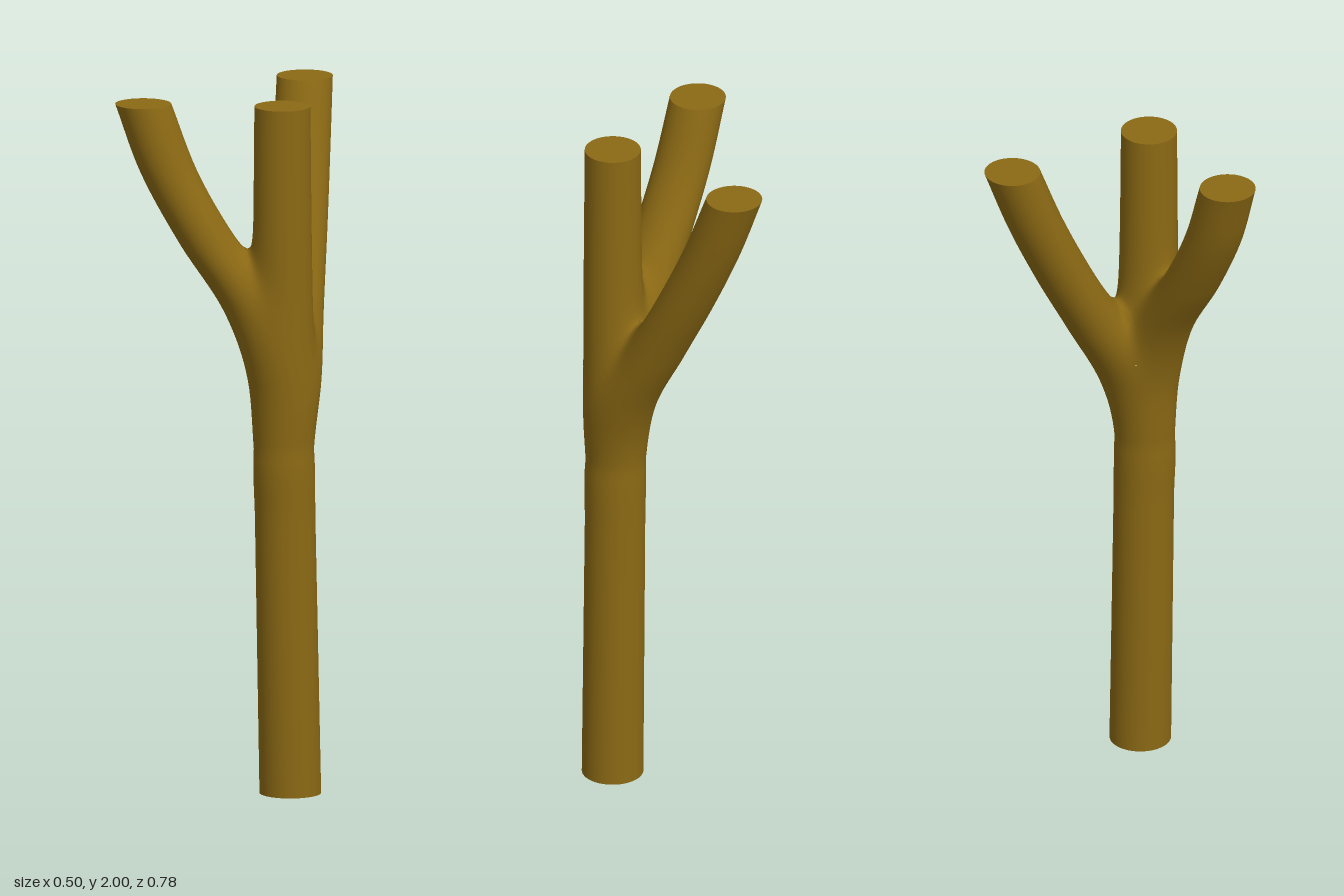
import * as THREE from 'three';

const BLEND = 0.025; // softness of the crotches
const FORK = 1.3;    // height where the trunk hands over to the limbs

// Limb centre lines: [x, z] at heights 1.2, 1.4, 1.6, 1.8 and 2 above a shared trunk
const limbs = {
  uprightLimb: [[0.150, 0.062], [0.151, 0.066], [0.152, 0.069], [0.152, 0.07], [0.152, 0.07]],
  frontLimb: [[0.137, 0.07], [0.08, 0.112], [-0.02, 0.195], [-0.108, 0.262], [-0.17, 0.305]],
  backLimb: [[0.132, 0.012], [0.07, -0.075], [0.007, -0.165], [-0.05, -0.245], [-0.097, -0.312]],
};
const curves = Object.values(limbs).map((upper) => {
  const pts = [];
  for (let i = 0; i <= 5; i++) pts.push(new THREE.Vector3(0.16 - 0.0026 * i, 0.2 * i, 0.045 + 0.0026 * i));
  upper.forEach(([x, z], i) => pts.push(new THREE.Vector3(x, 1.2 + 0.2 * i, z)));
  return new THREE.CatmullRomCurve3(pts, false, 'catmullrom', 0.5);
});

// Centres and radii of the limbs in the slice at height y
function slice(y) {
  const centres = curves.map((c) => c.getPoint(THREE.MathUtils.clamp(y / 2, 0, 1)));
  const base = y < 1.4 ? 0.088 - 0.003 * (y / 1.4) : 0.085 - 0.005 * ((y - 1.4) / 0.6);
  // where centres coincide, shrink so that the blend does not swell the trunk
  const radii = centres.map((c) =>
    base - BLEND * Math.log(centres.reduce((s, o) => s + Math.exp(-c.distanceTo(o) / BLEND), 0)));
  return { centres, radii };
}

// Smooth union of the limb circles: negative inside the wood
function field({ centres, radii }, x, z) {
  let sum = 0;
  centres.forEach((c, i) => { sum += Math.exp((radii[i] - Math.hypot(x - c.x, z - c.z)) / BLEND); });
  return -BLEND * Math.log(sum);
}

// Loft of rings from y0 to y1 around one limb, or around all of them when limb is -1
function loft(limb, y0, y1, rows, segments, capBottom, capTop) {
  const pos = [], nor = [], index = [], e = 0.002;
  for (let j = 0; j <= rows; j++) {
    const y = y0 + (y1 - y0) * j / rows;
    const s = slice(y), below = slice(y - e), above = slice(y + e);
    const mid = limb < 0
      ? s.centres.reduce((m, c) => m.addScaledVector(c, 1 / 3), new THREE.Vector3())
      : s.centres[limb];
    for (let i = 0; i <= segments; i++) {
      const a = 2 * Math.PI * i / segments, ux = Math.cos(a), uz = Math.sin(a);
      // stop just past the halfway plane to a neighbouring limb
      let hi = 0.3;
      if (limb >= 0) s.centres.forEach((c, n) => {
        const vx = c.x - mid.x, vz = c.z - mid.z, dot = ux * vx + uz * vz;
        if (n !== limb && dot > 1e-6) hi = Math.min(hi, 1.04 * (vx * vx + vz * vz) / (2 * dot));
      });
      if (field(s, mid.x + ux * hi, mid.z + uz * hi) > 0) {
        let lo = 0;
        for (let k = 0; k < 22; k++) {
          const m = (lo + hi) / 2;
          if (field(s, mid.x + ux * m, mid.z + uz * m) > 0) hi = m; else lo = m;
        }
      }
      const x = mid.x + ux * hi, z = mid.z + uz * hi;
      const dy = y < e || y > 2 - e ? 0.5 : 1;
      const n = new THREE.Vector3(
        field(s, x + e, z) - field(s, x - e, z),
        (field(above, x, z) - field(below, x, z)) / dy,
        field(s, x, z + e) - field(s, x, z - e)).normalize();
      pos.push(x, y, z);
      nor.push(n.x, n.y, n.z);
    }
  }
  const w = segments + 1;
  for (let j = 0; j < rows; j++) for (let i = 0; i < segments; i++) {
    const p = j * w + i;
    index.push(p, p + w, p + 1, p + 1, p + w, p + w + 1);
  }
  // flat sawn ends
  const cap = (row, up) => {
    const start = pos.length / 3;
    const ring = pos.slice(row * w * 3, (row + 1) * w * 3);
    let cx = 0, cz = 0;
    for (let i = 0; i < segments; i++) { cx += ring[3 * i] / segments; cz += ring[3 * i + 2] / segments; }
    pos.push(...ring, cx, ring[1], cz);
    for (let i = 0; i <= w; i++) nor.push(0, up ? 1 : -1, 0);
    for (let i = 0; i < segments; i++) {
      const p = start + i;
      index.push(start + w, up ? p + 1 : p, up ? p : p + 1);
    }
  };
  if (capBottom) cap(0, false);
  if (capTop) cap(rows, true);

  const geo = new THREE.BufferGeometry();
  geo.setAttribute('position', new THREE.Float32BufferAttribute(pos, 3));
  geo.setAttribute('normal', new THREE.Float32BufferAttribute(nor, 3));
  geo.setIndex(index);
  return geo;
}

export function createModel() {
  const group = new THREE.Group();
  group.name = 'forkedBranch';
  const wood = new THREE.MeshStandardMaterial({ color: 0x8b6914 });
  const add = (name, geo) => {
    const mesh = new THREE.Mesh(geo, wood);
    mesh.name = name;
    group.add(mesh);
  };

  add('trunk', loft(-1, 0, FORK, 52, 96, true, false));
  Object.keys(limbs).forEach((name, i) => add(name, loft(i, FORK, 2, 100, 80, false, true)));
  return group;
}
